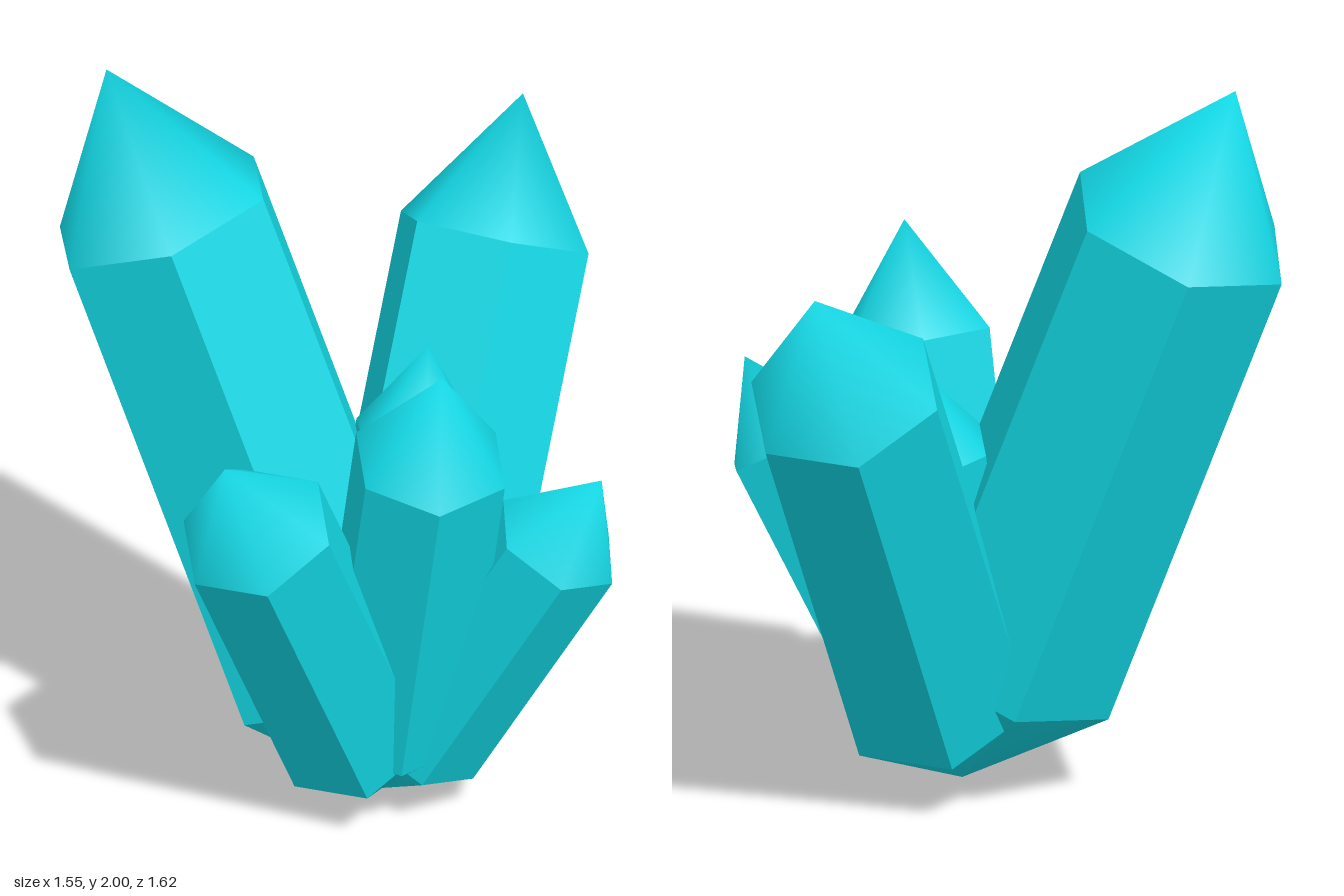
import * as THREE from 'three';
import { mergeVertices } from 'three/addons/utils/BufferGeometryUtils.js';

const SIDES = 6;
const ROOT = new THREE.Vector3(0.13, 0, 0.12); // point where all crystals meet

// proportions shared by every crystal, for a length of 1
const RADIUS = 0.144, ROOT_TOP = 0.166, TIP_BASE = 0.8;

const material = new THREE.MeshStandardMaterial({ color: 0x12d6e3 });
const facetMaterial = material.clone();
facetMaterial.flatShading = true;

// hexagonal frustum without caps, corners on +x and -x
function hexSection(rTop, rBottom, y0, y1) {
  return new THREE.CylinderGeometry(rTop, rBottom, y1 - y0, SIDES, 1, true)
    .rotateY(Math.PI / 2)
    .translate(0, (y0 + y1) / 2, 0);
}

// pointed end with one shared apex, so it shades smoothly
function smoothPoint(geometry) {
  geometry.deleteAttribute('uv');
  geometry.deleteAttribute('normal');
  const merged = mergeVertices(geometry, 1e-4);
  merged.computeVertexNormals();
  return merged;
}

const parts = {
  shaft: [hexSection(RADIUS, RADIUS, ROOT_TOP, TIP_BASE), facetMaterial],
  tip: [smoothPoint(hexSection(0, RADIUS, TIP_BASE, 1)), material],
  root: [smoothPoint(hexSection(RADIUS, 0, 0, ROOT_TOP)), material],
};

// one crystal growing from the root point to the given tip
function crystal(name, x, y, z) {
  const group = new THREE.Group();
  group.name = name;
  for (const [part, [geometry, mat]] of Object.entries(parts)) {
    const mesh = new THREE.Mesh(geometry, mat);
    mesh.name = part;
    group.add(mesh);
  }
  const axis = new THREE.Vector3(x, y, z).sub(ROOT);
  const length = axis.length();
  group.scale.setScalar(length);
  group.rotation.set(Math.atan2(axis.z, axis.y), 0, -Math.asin(axis.x / length));
  group.position.copy(ROOT);
  return group;
}

export function createModel() {
  const model = new THREE.Group();
  model.name = 'crystalCluster';
  model.add(
    crystal('largeRightCrystal', -0.65, 2.0, 0.12),
    crystal('backCrystal', 0.13, 1.6, -0.795),
    crystal('frontCrystal', -0.03, 1.305, 0.775),
    crystal('frontLeftCrystal', 0.39, 1.43, 0.325),
    crystal('smallLeftCrystal', 0.74, 1.075, 0.095),
    crystal('smallBackCrystal', 0.15, 1.21, -0.135),
  );
  return model;
}
